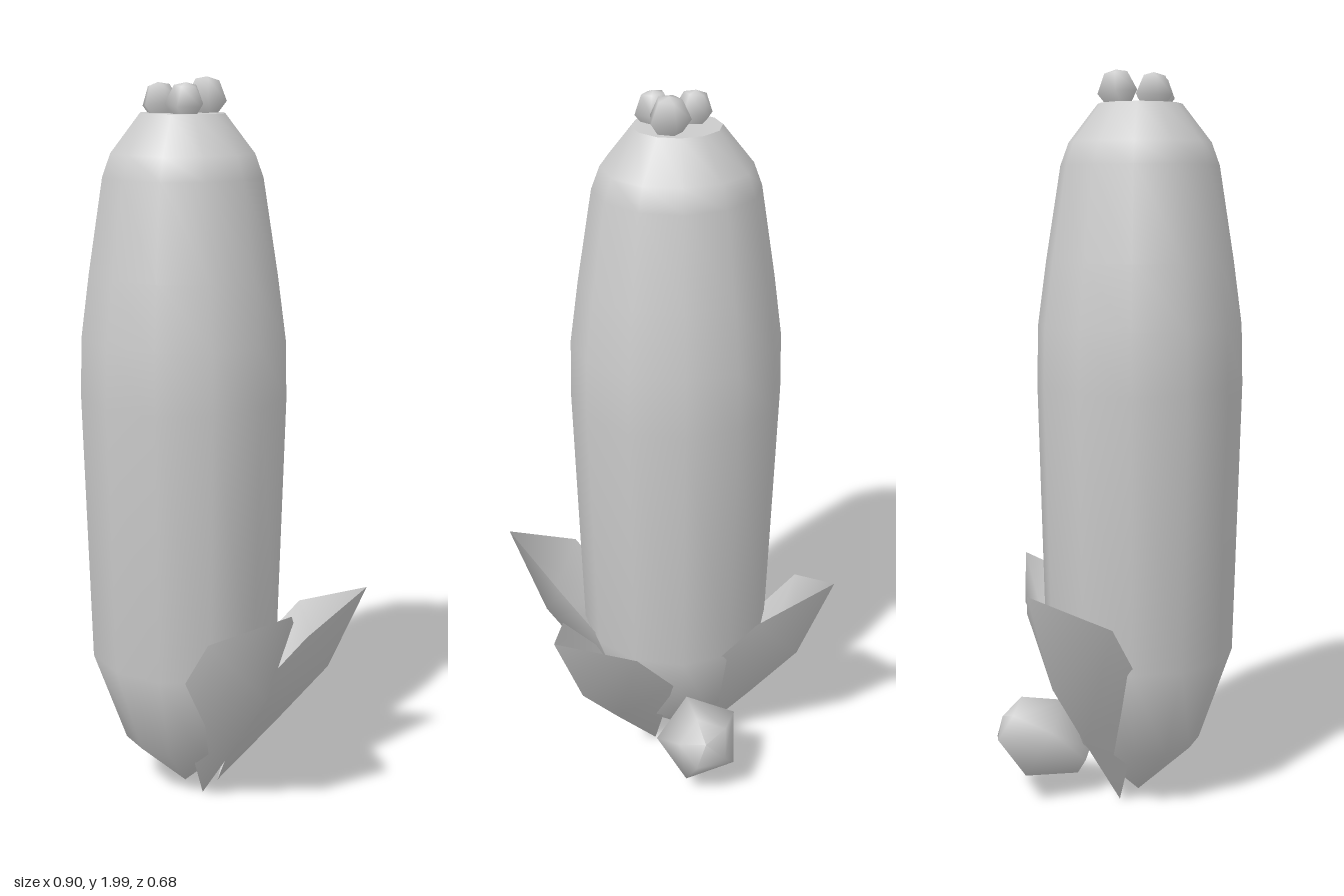
import * as THREE from 'three';

const material = new THREE.MeshStandardMaterial({ color: 0xcccccc, side: THREE.DoubleSide });
const CX = -0.03, CZ = 0.06; // axis of the stem

function lathe(name, profile, sides) {
  const points = profile.map(([r, y]) => new THREE.Vector2(r, y));
  const mesh = new THREE.Mesh(new THREE.LatheGeometry(points, sides), material);
  mesh.name = name;
  return mesh;
}

// Five-sided bud, centred on its widest ring, growing along the given axis
function makeBud(name, position, axis, size, spin) {
  const bud = lathe(name, [[0, -1.1], [0.3, -1.08], [1, -0.05], [0.58, 0.85], [0, 1]], 5);
  bud.scale.setScalar(size);
  bud.position.set(...position);
  bud.quaternion.setFromUnitVectors(new THREE.Vector3(0, 1, 0), new THREE.Vector3(...axis).normalize());
  bud.rotateY(spin);
  return bud;
}

// Keeled leaf: base point, two rows of edge / keel / edge, tip point
function makeLeaf(name, dx, dz, reach, height) {
  const length = Math.hypot(dx, dz);
  const ux = dx / length, uz = dz / length;
  const local = [ // outward, up, sideways
    [0.09, 0.01, 0],
    [0.17, 0.37, 0.14], [0.25, 0.22, 0], [0.17, 0.37, -0.14],
    [0.32, 0.575, 0.14], [0.39, 0.41, 0], [0.32, 0.575, -0.14],
    [0.49, 0.68, 0],
  ];
  const positions = local.flatMap(([r, y, w]) => [
    CX + ux * r * reach - uz * w, y * height, CZ + uz * r * reach + ux * w,
  ]);
  const geometry = new THREE.BufferGeometry();
  geometry.setAttribute('position', new THREE.Float32BufferAttribute(positions, 3));
  geometry.setIndex([
    0, 2, 1, 0, 3, 2,
    1, 2, 5, 1, 5, 4, 2, 3, 6, 2, 6, 5,
    4, 5, 7, 5, 6, 7,
  ]);
  geometry.computeVertexNormals();
  const leaf = new THREE.Mesh(geometry, material);
  leaf.name = name;
  return leaf;
}

export function createModel() {
  const model = new THREE.Group();
  model.name = 'plant';

  // Tall rounded stem with a pointed foot and a flat crown
  const stem = lathe('stem', [
    [0, 0.01], [0.17, 0.17], [0.26, 0.43], [0.279, 1.17], [0.275, 1.33],
    [0.252, 1.5], [0.212, 1.75], [0.19, 1.81], [0.112, 1.91],
  ], 12);
  stem.position.set(CX, 0, CZ);
  stem.scale.x = 1.03;
  const crown = new THREE.Mesh(new THREE.CircleGeometry(0.112, 12), material);
  crown.name = 'crown';
  crown.rotation.x = -Math.PI / 2;
  crown.position.set(CX, 1.91, CZ);
  crown.scale.x = 1.03;
  model.add(stem, crown);

  // Leaves around the foot
  model.add(
    makeLeaf('leftLeaf', 0.48, 0.09, 1, 1),
    makeLeaf('backLeftLeaf', 0.36, -0.37, 1.05, 0.89),
    makeLeaf('rightLeaf', -0.42, -0.25, 1, 1),
  );

  // Small buds on the crown and one large bud at the back of the foot
  model.add(
    makeBud('crownBudBack', [-0.005, 1.945, 0], [0, 1, -0.1], 0.056, 0.9),
    makeBud('crownBudRight', [-0.075, 1.935, 0.097], [-0.1, 1, 0.05], 0.052, 0),
    makeBud('crownBudLeft', [0.022, 1.935, 0.1], [0.1, 1, 0.05], 0.053, 0.4),
    makeBud('sideBud', [-0.08, 0.17, -0.21], [-0.05, 0.5, -0.85], 0.125, 0.3),
  );
  return model;
}
